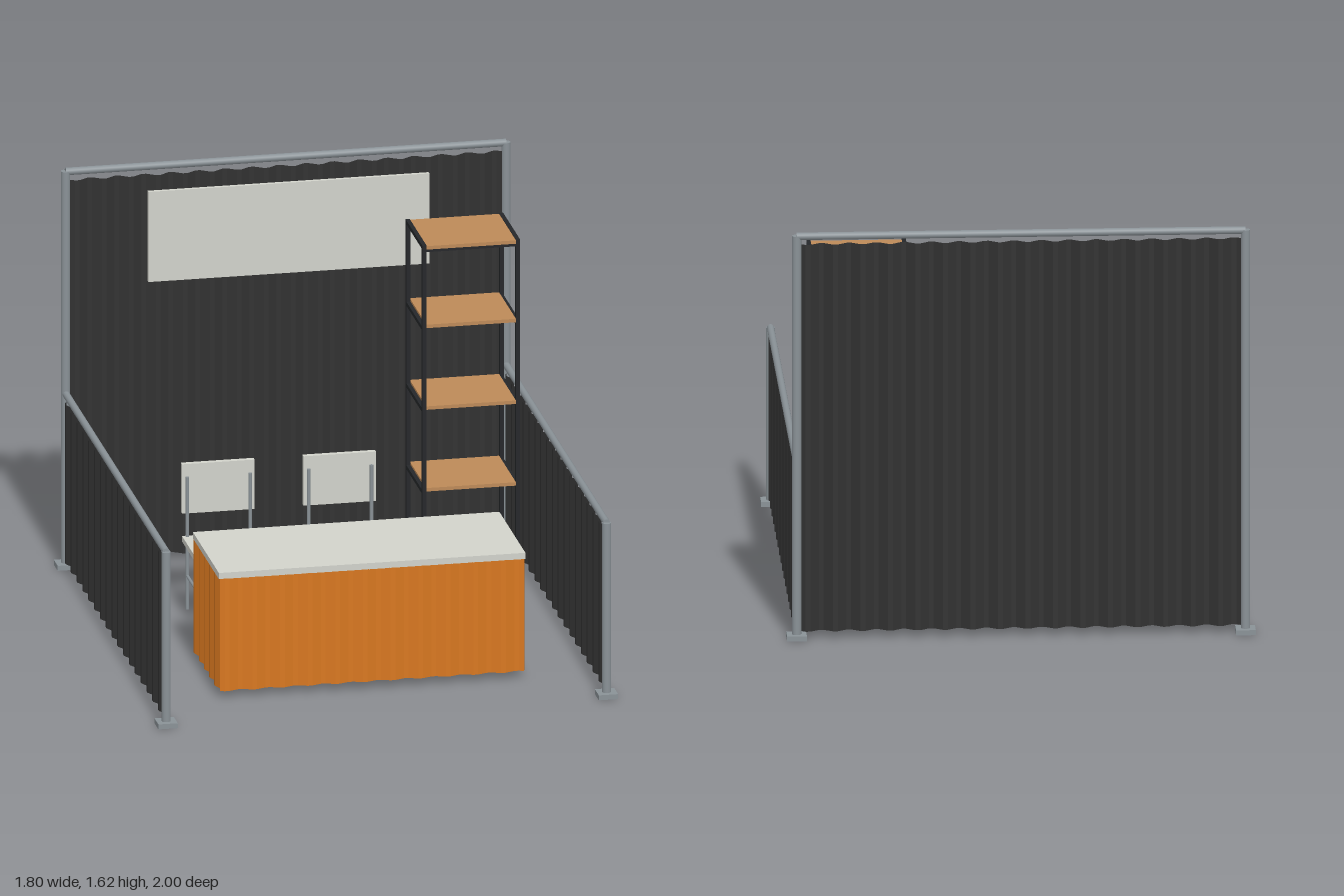
import * as THREE from 'three';

const mat = (name, color, extra = {}) => {
  const m = new THREE.MeshStandardMaterial({ color, ...extra });
  m.name = name;
  return m;
};

export function createModel() {
  const root = new THREE.Group();
  root.name = 'exhibitionBooth';
  const metal = mat('greyMetal', 0x8a9297);
  const drape = mat('charcoalFabric', 0x333333, { side: THREE.DoubleSide, flatShading: true });
  const orange = mat('orangeFabric', 0xd97820, { side: THREE.DoubleSide, flatShading: true });
  const pale = mat('paleGrey', 0xd2d3cb);
  const wood = mat('wood', 0xbd8a58);
  const black = mat('blackMetal', 0x25272a);

  const add = (parent, name, geo, material, x, y, z) => {
    const m = new THREE.Mesh(geo, material);
    m.name = name;
    m.position.set(x, y, z);
    parent.add(m);
    return m;
  };
  const box = (parent, name, material, w, h, d, x, y, z) =>
    add(parent, name, new THREE.BoxGeometry(w, h, d), material, x, y, z);
  // Upright tube standing on y0
  const pole = (parent, name, material, r, y0, y1, x, z) =>
    add(parent, name, new THREE.CylinderGeometry(r, r, y1 - y0, 12), material, x, (y0 + y1) / 2, z);
  // Horizontal tube along x or z
  const rail = (parent, name, material, r, len, axis, x, y, z) => {
    const m = add(parent, name, new THREE.CylinderGeometry(r, r, len, 12), material, x, y, z);
    if (axis === 'x') m.rotation.z = Math.PI / 2;
    else m.rotation.x = Math.PI / 2;
    return m;
  };
  // Pleated cloth: a plane rippled along its width
  const cloth = (parent, name, material, w, y0, y1, waves, amp, x, z, turn = 0) => {
    const geo = new THREE.PlaneGeometry(w, y1 - y0, waves * 6, 1);
    const p = geo.attributes.position;
    for (let i = 0; i < p.count; i++) {
      const t = p.getX(i) / w + 0.5;
      p.setZ(i, amp * Math.sin(t * waves * Math.PI * 2));
    }
    geo.computeVertexNormals();
    const m = add(parent, name, geo, material, x, (y0 + y1) / 2, z);
    m.rotation.y = turn;
    return m;
  };

  // Pipe frame with base plates
  const frame = new THREE.Group();
  frame.name = 'pipeFrame';
  root.add(frame);
  const px = 0.862, pz = 0.962;
  for (const s of [-1, 1]) {
    for (const [z, h, label] of [[-pz, 1.605, 'back'], [pz, 0.705, 'front']]) {
      box(frame, label + 'BasePlate', metal, 0.076, 0.02, 0.076, s * px, 0.01, z);
      pole(frame, label + 'Post', metal, 0.018, 0, h, s * px, z);
    }
    rail(frame, 'sideRail', metal, 0.014, pz * 2, 'z', s * px, 0.704, 0);
    cloth(root, 'sideDrape', drape, 1.89, 0.03, 0.675, 17, 0.011, s * px, 0, Math.PI / 2);
  }
  rail(frame, 'backRail', metal, 0.015, px * 2, 'x', 0, 1.603, -pz);
  cloth(root, 'backDrape', drape, 1.69, 0.03, 1.57, 16, 0.014, 0, -0.957);

  // Hanging board in front of the back drape
  box(root, 'wallBoard', pale, 1.1, 0.365, 0.016, 0, 1.337, -0.907);

  // Counter: slab with pleated skirt
  const counter = new THREE.Group();
  counter.name = 'counter';
  counter.position.z = 0.442;
  root.add(counter);
  box(counter, 'counterTop', pale, 1.2, 0.025, 0.498, 0, 0.4975, 0);
  for (const s of [-1, 1]) {
    cloth(counter, 'longSkirt', orange, 1.19, 0.03, 0.486, 11, 0.008, 0, s * 0.244);
    cloth(counter, 'endSkirt', orange, 0.488, 0.03, 0.486, 5, 0.007, s * 0.595, 0, Math.PI / 2);
  }

  // Two chairs
  for (const cx of [-0.39, 0.085]) {
    const chair = new THREE.Group();
    chair.name = 'chair';
    chair.position.x = cx;
    root.add(chair);
    box(chair, 'seat', pale, 0.284, 0.022, 0.26, 0, 0.298, -0.217);
    box(chair, 'backrest', pale, 0.284, 0.2, 0.022, 0, 0.5, -0.355);
    for (const s of [-1, 1]) {
      pole(chair, 'frontLeg', metal, 0.007, 0.015, 0.288, s * 0.123, -0.115);
      pole(chair, 'backLeg', metal, 0.007, 0.015, 0.55, s * 0.123, -0.337);
      rail(chair, 'stretcher', metal, 0.006, 0.222, 'z', s * 0.123, 0.15, -0.226);
    }
  }

  // Shelving unit
  const shelf = new THREE.Group();
  shelf.name = 'shelvingUnit';
  shelf.position.set(0.602, 0, -0.515);
  root.add(shelf);
  for (const sx of [-1, 1])
    for (const sz of [-1, 1])
      box(shelf, 'upright', black, 0.016, 1.4, 0.016, sx * 0.183, 0.718, sz * 0.154);
  [0.097, 0.428, 0.759, 1.09, 1.408].forEach((y, i) => {
    box(shelf, 'shelfBoard', wood, 0.35, 0.014, 0.322, 0, y, 0);
    for (const s of [-1, 1]) {
      box(shelf, 'sideBar', black, 0.016, 0.016, 0.308, s * 0.183, i === 4 ? 1.41 : y - 0.01, 0);
      if (i % 4 === 0) box(shelf, 'crossBar', black, 0.36, 0.012, 0.014, 0, y - 0.012, s * 0.152);
    }
  });

  return root;
}
